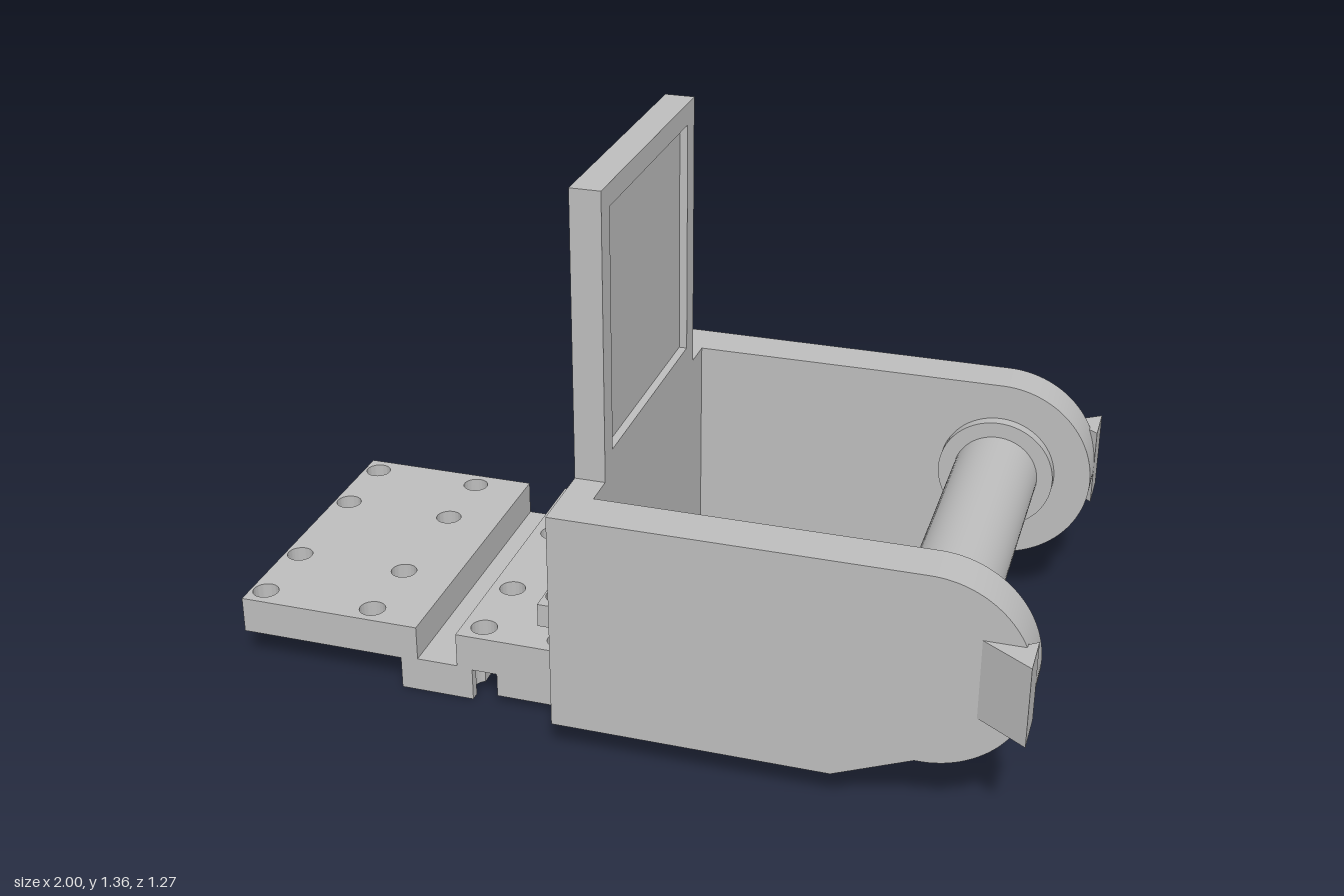
import * as THREE from 'three';
import { toCreasedNormals } from 'three/addons/utils/BufferGeometryUtils.js';

const steel = new THREE.MeshStandardMaterial({ color: 0xbdbdbd });
steel.name = 'plain grey';

const HOLE_R = 0.033;
const HOLE_Z = [-0.345, -0.15, 0.15, 0.345];
const BASE_HALF = 0.398;

const polygon = (pts) => new THREE.Shape(pts.map(([x, y]) => new THREE.Vector2(x, y)));

function extrude(shape, depth) {
  const g = new THREE.ExtrudeGeometry(shape, { depth, bevelEnabled: false, curveSegments: 32 });
  return toCreasedNormals(g, 0.5);
}

// Plan outline in x and z, raised from y0 to y1
function slab(shape, y0, y1) {
  return extrude(shape, y1 - y0).rotateX(-Math.PI / 2).translate(0, y0, 0);
}

// Rectangular plan with rows of round through holes
function drilled(x0, x1, holeXs) {
  const s = polygon([[x0, -BASE_HALF], [x1, -BASE_HALF], [x1, BASE_HALF], [x0, BASE_HALF]]);
  for (const x of holeXs) for (const z of HOLE_Z) {
    s.holes.push(new THREE.Path().absarc(x, z, HOLE_R, 0, Math.PI * 2, true));
  }
  return s;
}

// Rectangular plan whose right edge is bitten by a row of holes centred at holeX
function notched(x0, x1, holeX) {
  const s = new THREE.Shape();
  s.moveTo(x0, -BASE_HALF);
  s.lineTo(x1, -BASE_HALF);
  const a = Math.acos((x1 - holeX) / HOLE_R);
  for (const z of HOLE_Z) s.absarc(holeX, z, HOLE_R, -a, a, true);
  s.lineTo(x1, BASE_HALF);
  s.lineTo(x0, BASE_HALF);
  s.closePath();
  return s;
}

export function createModel() {
  const model = new THREE.Group();
  model.name = 'rollerBracket';
  const add = (name, geometry) => {
    const m = new THREE.Mesh(geometry, steel);
    m.name = name;
    model.add(m);
    return m;
  };

  // Stepped, drilled base
  add('outerBasePlate', slab(drilled(-1, -0.525, [-0.96, -0.665]), 0.085, 0.18));
  add('innerBasePlate', slab(drilled(-0.42, -0.11, [-0.365, -0.165]), 0.085, 0.18));
  add('channelBlock', slab(notched(-0.57, -0.38, -0.365), 0, 0.09));
  add('lowerBlock', slab(drilled(-0.315, -0.107, [-0.165]), 0.023, 0.085));
  add('clampStrip', slab(drilled(-0.203, -0.115, [-0.165]), 0.245, 0.305));

  // Upright back plate, with a shallow window recess on its inner face
  const outline = [[-0.44, 0.083], [0.44, 0.083], [0.44, 0.64], [0.357, 0.64],
    [0.357, 1.355], [-0.357, 1.355], [-0.357, 0.64], [-0.44, 0.64]];
  const frame = polygon(outline);
  frame.holes.push(polygon([[-0.3, 0.7], [-0.3, 1.3], [0.3, 1.3], [0.3, 0.7]]));
  add('backPlate', extrude(polygon(outline), 0.055).rotateY(Math.PI / 2).translate(-0.115, 0, 0));
  add('backPlateFrame', extrude(frame, 0.02).rotateY(Math.PI / 2).translate(-0.06, 0, 0));

  // Side arm outline with a rounded end
  const arm = new THREE.Shape();
  arm.moveTo(-0.115, 0.083);
  arm.lineTo(0.56, 0.083);
  arm.lineTo(0.75, 0.16);
  arm.absarc(0.76, 0.4, 0.24, -Math.PI / 2, Math.PI / 2, false);
  arm.lineTo(-0.115, 0.64);
  arm.closePath();

  for (const [side, s] of [['left', -1], ['right', 1]]) {
    add(side + 'Arm', extrude(arm, 0.115).translate(0, 0, s > 0 ? 0.44 : -0.555));
    // Wedge-shaped end tab
    const tab = polygon([[0.875, s * 0.55], [1, s * 0.635], [1, s * 0.525], [0.98, s * 0.54]]);
    add(side + 'EndTab', slab(tab, 0.3, 0.5));
    // Collar between roller and arm
    add(side + 'Collar', new THREE.CylinderGeometry(0.148, 0.148, 0.03, 64)
      .rotateX(Math.PI / 2).translate(0.76, 0.4, s * 0.425));
  }

  // Roller bar
  add('roller', new THREE.CylinderGeometry(0.108, 0.108, 0.83, 64)
    .rotateX(Math.PI / 2).translate(0.76, 0.4, 0));

  return model;
}
